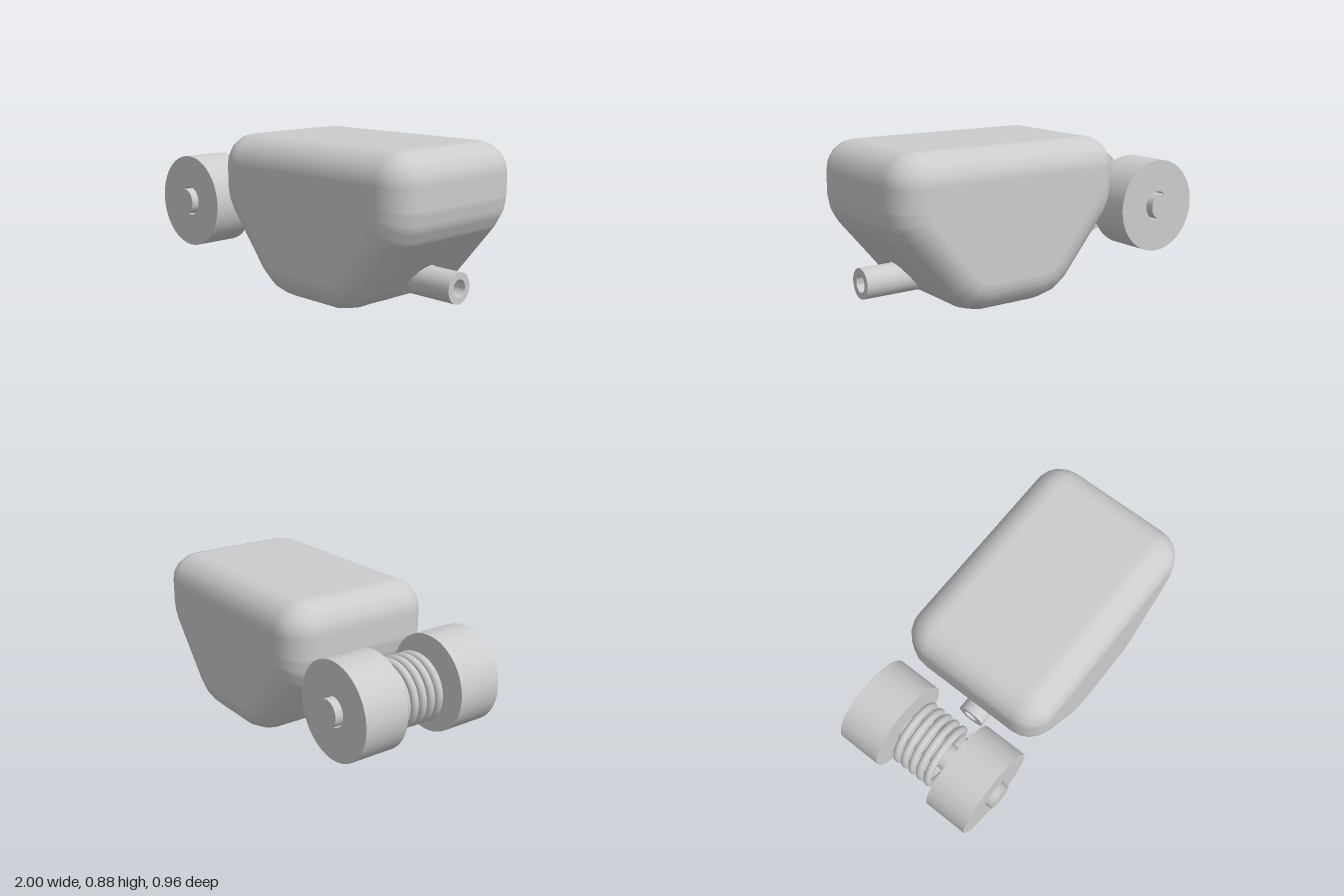
import * as THREE from 'three';
import { toCreasedNormals } from 'three/addons/utils/BufferGeometryUtils.js';

const ROUND = 0.17, HALF = 0.305, MID_X = 0.29; // body edge radius, half depth of the flat band, symmetry line
const PIPE_Y = 0.15, PIPE_HOLE = 0.088;

// Collects vertices with normals and indexed triangles
function meshBuilder() {
  const pos = [], nor = [], idx = [];
  return {
    vert(p, n) { pos.push(...p); nor.push(...n); return pos.length / 3 - 1; },
    tri(a, b, c) { idx.push(a, b, c); },
    quad(a, b, c, d) { idx.push(a, b, c, a, c, d); },
    build() {
      const g = new THREE.BufferGeometry();
      g.setAttribute('position', new THREE.Float32BufferAttribute(pos, 3));
      g.setAttribute('normal', new THREE.Float32BufferAttribute(nor, 3));
      g.setIndex(idx);
      return g;
    },
  };
}

// Tapered block with rounded edges and a round pipe opening through both sloping sides
function bodyGeometry() {
  const half = [[-0.25, 0.71], [-0.25, 0.596], [-0.242, 0.552], [-0.22, 0.513],
    [0.028, 0.216], [0.072, 0.183], [0.126, 0.17]];
  const core = [...half, ...half.slice().reverse().map(([x, y]) => [2 * MID_X - x, y])];
  const steps = 4, count = core.length;
  const edgeAngle = (a, b) => Math.atan2(-(b[0] - a[0]), b[1] - a[1]); // outward normal angle
  const profile = [];
  core.forEach((c, i) => {
    const a0 = edgeAngle(core[(i + count - 1) % count], c);
    let turn = edgeAngle(c, core[(i + 1) % count]) - a0;
    turn = ((turn % (2 * Math.PI)) + 2 * Math.PI) % (2 * Math.PI);
    for (let k = 0; k <= steps; k++) {
      const a = a0 + turn * k / steps;
      profile.push({ c, n: [Math.cos(a), Math.sin(a)] });
    }
  });
  const P = profile.map(({ c, n }) => [c[0] + ROUND * n[0], c[1] + ROUND * n[1]]);
  const b = meshBuilder();

  // Rings from back to front; the two middle ones bound the flat band
  const rings = [];
  for (const side of [-1, 1]) {
    for (let k = 0; k <= 5; k++) {
      const t = (side < 0 ? k - 5 : k) / 5 * Math.PI / 2;
      const ct = Math.cos(t), st = Math.sin(t);
      rings.push(profile.map(({ c, n }) => b.vert(
        [c[0] + ROUND * ct * n[0], c[1] + ROUND * ct * n[1], side * HALF + ROUND * st],
        [n[0] * ct, n[1] * ct, st])));
    }
  }
  const first = 19, last = 34; // profile span replaced by the pierced panels
  const m = profile.length;
  for (let j = 0; j < rings.length - 1; j++) {
    for (let i = 0; i < m; i++) {
      const pierced = (i >= first && i < last) || (i >= m - 1 - last && i < m - 1 - first);
      if (j === 5 && pierced) continue;
      const n = (i + 1) % m;
      b.quad(rings[j][i], rings[j][n], rings[j + 1][n], rings[j + 1][i]);
    }
  }
  // Flat front and back
  for (const s of [-1, 1]) {
    const ring = s < 0 ? rings[0] : rings[rings.length - 1];
    const mid = b.vert([MID_X, 0.45, s * (HALF + ROUND)], [0, 0, s]);
    for (let i = 0; i < m; i++) {
      const n = (i + 1) % m;
      if (s > 0) b.tri(mid, ring[i], ring[n]); else b.tri(mid, ring[n], ring[i]);
    }
  }
  // Sloping panels: radial grid from the round opening to the panel border
  const slope = (y) => {
    let i = first;
    while (i < last - 1 && P[i + 1][1] > y) i++;
    const t = THREE.MathUtils.clamp((P[i][1] - y) / (P[i][1] - P[i + 1][1]), 0, 1);
    const mix = (u, v) => u + (v - u) * t;
    return { x: mix(P[i][0], P[i + 1][0]), n: [0, 1].map((k) => mix(profile[i].n[k], profile[i + 1].n[k])) };
  };
  const border = [];
  for (let k = 0; k < 16; k++) border.push([HALF * (k / 8 - 1), P[last][1]]);
  for (let i = last; i > first; i--) border.push([HALF, P[i][1]]);
  for (let k = 0; k < 16; k++) border.push([HALF * (1 - k / 8), P[first][1]]);
  for (let i = first; i < last; i++) border.push([-HALF, P[i][1]]);
  for (const side of [-1, 1]) {
    const grid = border.map(([z, y]) => {
      const a = Math.atan2(y - PIPE_Y, z);
      const z0 = PIPE_HOLE * Math.cos(a), y0 = PIPE_Y + PIPE_HOLE * Math.sin(a);
      return [0, 1, 2, 3, 4, 5, 6].map((k) => {
        const zz = z0 + (z - z0) * k / 6, yy = y0 + (y - y0) * k / 6, s = slope(yy);
        return b.vert([side < 0 ? s.x : 2 * MID_X - s.x, yy, zz], [-side * s.n[0], s.n[1], 0]);
      });
    });
    grid.forEach((g, i) => {
      const h = grid[(i + 1) % grid.length];
      for (let k = 0; k < 6; k++) {
        if (side < 0) b.quad(g[k], g[k + 1], h[k + 1], h[k]);
        else b.quad(g[k], h[k], h[k + 1], g[k + 1]);
      }
    });
  }
  return b.build();
}

// Hollow cylinder along y with sharp rims
function ringGeometry(inner, outer, length, segments) {
  const h = length / 2;
  const pts = [[inner, -h], [outer, -h], [outer, h], [inner, h], [inner, -h]].map((p) => new THREE.Vector2(...p));
  return toCreasedNormals(new THREE.LatheGeometry(pts, segments), Math.PI / 5);
}

// Coil around z
class Helix extends THREE.Curve {
  getPoint(t, target = new THREE.Vector3()) {
    const a = t * 10 * Math.PI;
    return target.set(0.173 * Math.cos(a), 0.173 * Math.sin(a), -0.137 + 0.272 * t);
  }
}

export function createModel() {
  const model = new THREE.Group();
  const grey = new THREE.MeshStandardMaterial({ color: 0xcccccc });
  grey.name = 'plain grey';
  const add = (parent, name, geometry) => {
    const mesh = new THREE.Mesh(geometry, grey);
    mesh.name = name;
    parent.add(mesh);
    return mesh;
  };

  add(model, 'body', bodyGeometry());

  // Open pipe running through the body
  const pipe = add(model, 'pipe', ringGeometry(0.048, 0.085, 1.395, 32));
  pipe.rotation.z = Math.PI / 2;
  pipe.position.set(0.287, PIPE_Y, 0);

  // Roller pair on a loose shaft with a spring between
  const roller = new THREE.Group();
  roller.name = 'rollerAssembly';
  roller.position.set(-0.73, 0.443, 0);
  model.add(roller);
  add(roller, 'shaft', new THREE.CylinderGeometry(0.076, 0.076, 0.96, 40)).rotation.x = Math.PI / 2;
  for (const s of [-1, 1]) {
    const wheel = add(roller, s > 0 ? 'frontRoller' : 'backRoller', ringGeometry(0.085, 0.27, 0.262, 64));
    wheel.rotation.x = Math.PI / 2;
    wheel.position.z = s * 0.31;
  }
  const helix = new Helix();
  add(roller, 'spring', new THREE.TubeGeometry(helix, 240, 0.023, 10));
  for (const t of [0, 1]) {
    const cap = add(roller, 'springEnd', new THREE.CircleGeometry(0.023, 10));
    cap.position.copy(helix.getPoint(t));
    cap.rotation.x = t ? -Math.PI / 2 : Math.PI / 2;
  }
  return model;
}
